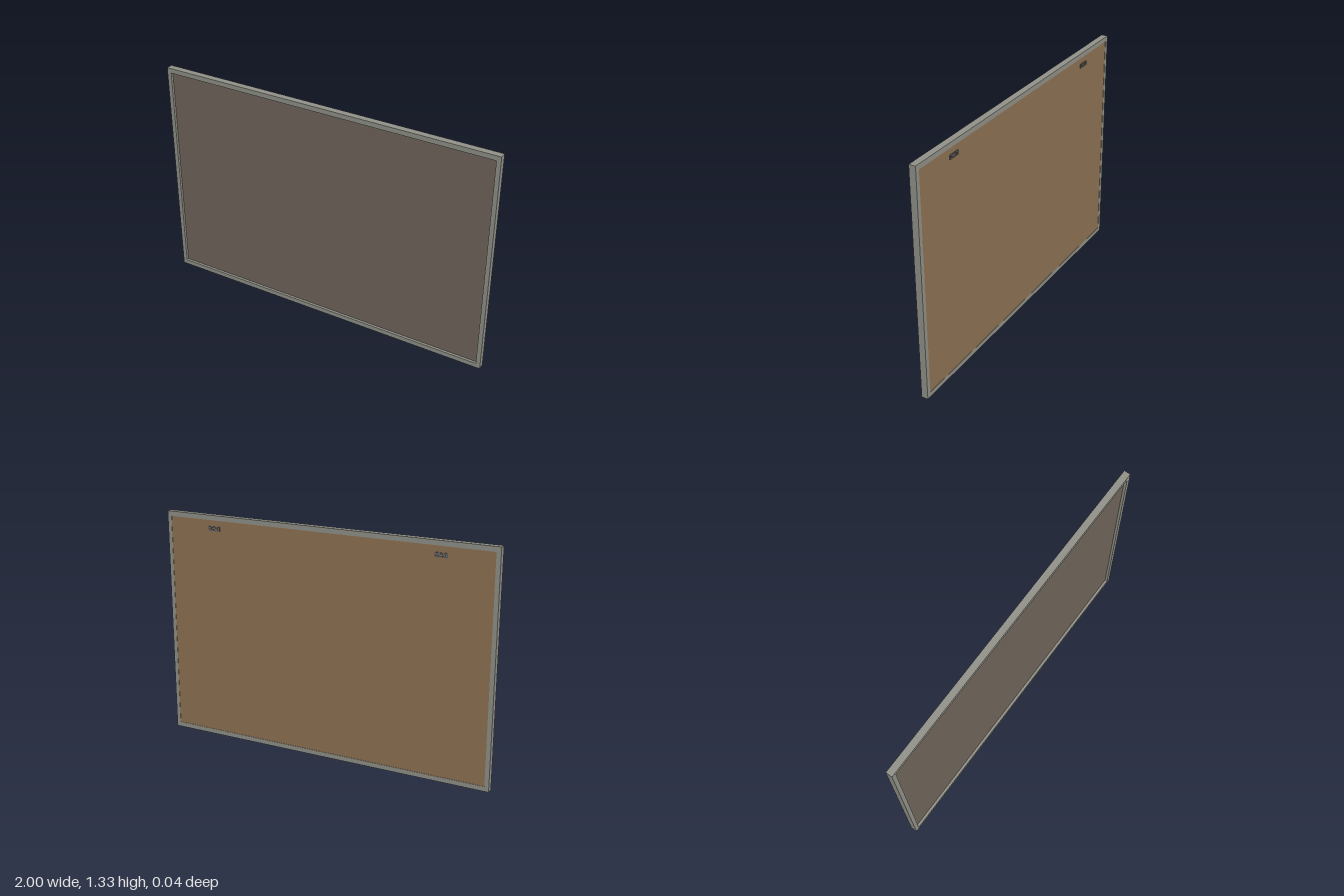
import * as THREE from 'three';

const W = 2, H = 1.333, D = 0.038, RAIL = 0.028, STILE = 0.025;

function box(name, material, w, h, d, x, y, z) {
  const mesh = new THREE.Mesh(new THREE.BoxGeometry(w, h, d), material);
  mesh.name = name;
  mesh.position.set(x, y, z);
  return mesh;
}

// Small hanger plate with two screw holes and a toothed slot
function hangerGeometry() {
  const w = 0.036, h = 0.0125;
  const plate = new THREE.Shape();
  plate.moveTo(-w, -h).lineTo(w, -h).lineTo(w, h).lineTo(-w, h).closePath();
  for (const x of [-0.028, 0.028]) {
    plate.holes.push(new THREE.Path().absarc(x, 0, 0.004, 0, Math.PI * 2, true));
  }
  const slot = new THREE.Path().moveTo(-0.018, -0.005).lineTo(-0.018, 0.004);
  for (let i = 0; i < 6; i++) {
    const x = -0.018 + i * 0.006;
    slot.lineTo(x + 0.003, 0.007).lineTo(x + 0.006, 0.004);
  }
  slot.lineTo(0.018, -0.005).closePath();
  plate.holes.push(slot);
  return new THREE.ExtrudeGeometry(plate, { depth: 0.004, bevelEnabled: false, curveSegments: 8 });
}

export function createModel() {
  const model = new THREE.Group();
  model.name = 'framedBoard';
  const metal = new THREE.MeshStandardMaterial({ color: 0x92928a });
  const face = new THREE.MeshStandardMaterial({ color: 0x70665b });
  const backing = new THREE.MeshStandardMaterial({ color: 0x8f7353 });
  const steel = new THREE.MeshStandardMaterial({ color: 0x5c6064 });

  // Frame: full-width rails with stiles between them
  const stileH = H - 2 * RAIL;
  model.add(
    box('topRail', metal, W, RAIL, D, 0, H - RAIL / 2, 0),
    box('bottomRail', metal, W, RAIL, D, 0, RAIL / 2, 0),
    box('leftStile', metal, STILE, stileH, D, W / 2 - STILE / 2, H / 2, 0),
    box('rightStile', metal, STILE, stileH, D, -W / 2 + STILE / 2, H / 2, 0),
  );

  // Board: recessed front panel on a brown backing
  const innerW = W - 2 * STILE;
  model.add(
    box('frontPanel', face, innerW, stileH, 0.007, 0, H / 2, 0.0005),
    box('backPanel', backing, innerW, stileH, 0.014, 0, H / 2, -0.01),
  );

  // Hangers on the back
  const geometry = hangerGeometry();
  for (const [name, x] of [['leftHanger', 0.685], ['rightHanger', -0.685]]) {
    const hanger = new THREE.Mesh(geometry, steel);
    hanger.name = name;
    hanger.position.set(x, 1.257, -0.021);
    model.add(hanger);
  }
  return model;
}
